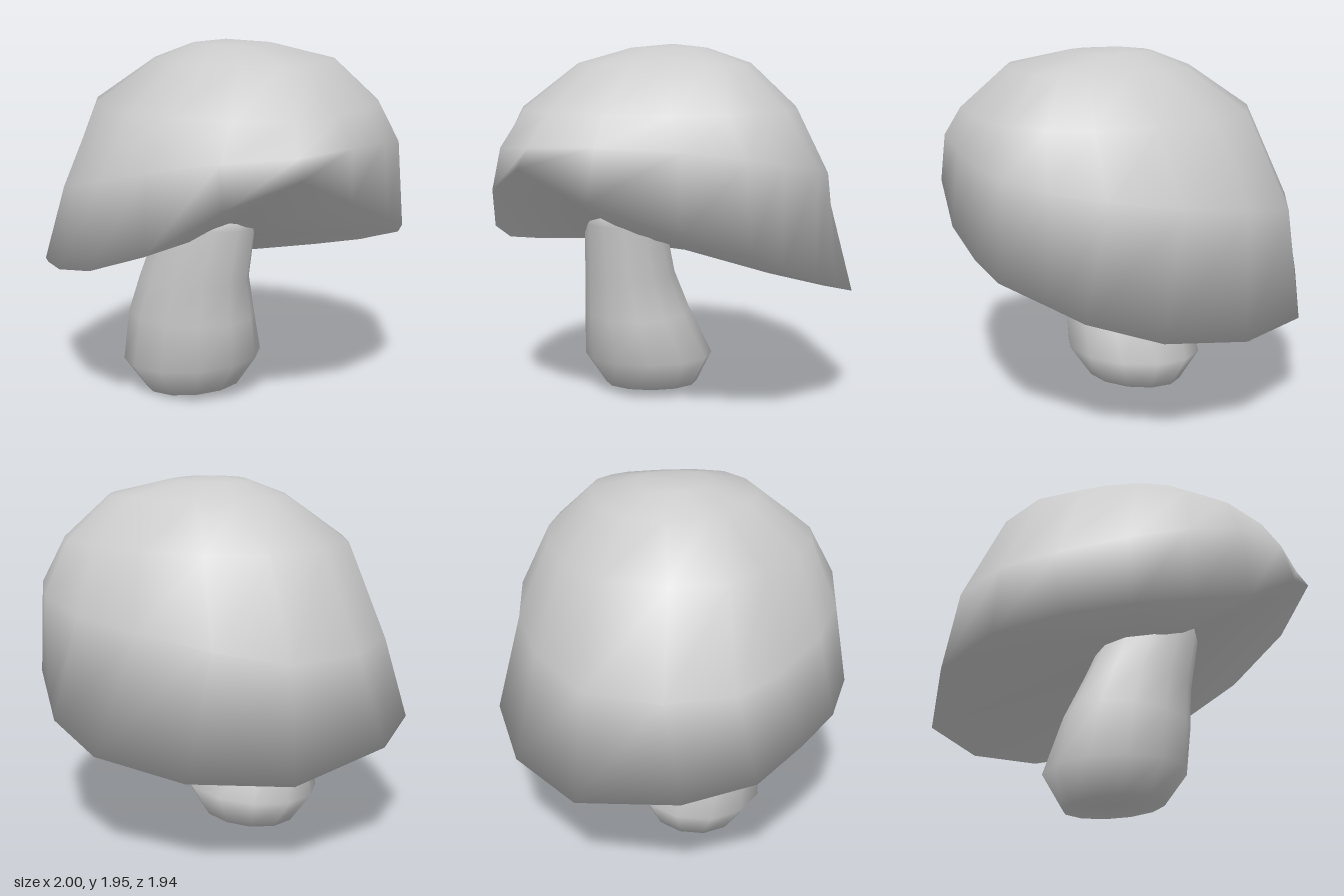
import * as THREE from 'three';

// Skins a stack of rings, each an array of [x, y, z]; a one-point ring closes an end.
function loft(name, rings, material) {
  const positions = [], index = [], starts = [];
  for (const ring of rings) {
    starts.push(positions.length / 3);
    for (const p of ring) positions.push(...p);
  }
  const count = Math.max(...rings.map((r) => r.length));
  for (let k = 0; k + 1 < rings.length; k++) {
    const at = (row, i) => starts[row] + (i % rings[row].length);
    for (let i = 0; i < count; i++) {
      const a = at(k, i), b = at(k, i + 1), c = at(k + 1, i + 1), d = at(k + 1, i);
      if (a !== b) index.push(a, b, c);
      if (c !== d) index.push(a, c, d);
    }
  }
  const geometry = new THREE.BufferGeometry();
  geometry.setAttribute('position', new THREE.Float32BufferAttribute(positions, 3));
  geometry.setIndex(index);
  geometry.computeVertexNormals();
  const mesh = new THREE.Mesh(geometry, material);
  mesh.name = name;
  return mesh;
}

export function createModel() {
  const group = new THREE.Group();
  group.name = 'mushroom';
  const material = new THREE.MeshStandardMaterial({ color: 0xcccccc });

  // Uneven, tilted rim of the cap
  const rim = [
    [-0.97, 0.69, 0.26], [-0.75, 0.76, 0.55], [-0.52, 0.80, 0.78], [-0.24, 0.86, 0.93],
    [0.10, 0.98, 0.97], [0.50, 1.23, 0.93], [0.82, 1.37, 0.77], [0.95, 1.22, 0.44],
    [1.00, 1.06, 0.00], [0.97, 0.96, -0.34], [0.90, 0.88, -0.50], [0.70, 0.79, -0.70],
    [0.57, 0.73, -0.83], [0.22, 0.63, -0.97], [-0.27, 0.55, -0.90], [-0.73, 0.53, -0.63],
    [-1.00, 0.63, -0.13],
  ];

  // Widest part of the dome above the rim, bulging towards the back on the left
  const shoulder = [
    [-0.87, 1.13, 0.17], [-0.72, 1.16, 0.42], [-0.47, 1.23, 0.70], [-0.22, 1.30, 0.86],
    [0.09, 1.38, 0.93], [0.46, 1.44, 0.89], [0.79, 1.47, 0.72], [0.93, 1.48, 0.40],
    [0.96, 1.46, 0.00], [0.94, 1.42, -0.32], [0.87, 1.39, -0.50], [0.71, 1.35, -0.69],
    [0.43, 1.30, -0.79], [0.05, 1.25, -0.83], [-0.34, 1.19, -0.77], [-0.68, 1.12, -0.57],
    [-0.87, 1.12, -0.20],
  ];

  // The dome closes over the shoulder [scale, shift x, shift z, height]
  const dome = [
    [0.83, 0.075, 0.03, 1.63],
    [0.52, 0.14, 0.02, 1.86],
    [0.23, 0.09, 0.01, 1.94],
  ].map(([s, sx, sz, h]) => shoulder.map(([x, , z]) => [x * s + sx, h, z * s + sz]));

  // Cap: underside, rim and dome in one smooth skin
  group.add(loft('cap', [[[0.08, 0.93, 0.26]], rim, shoulder, ...dome, [[0.06, 1.96, 0]]], material));

  // Stem: leaning, swollen towards the foot [height, centre x, centre z, radius x, radius z, slope x]
  const sections = [
    [0.04, -0.08, 0.12, 0.27, 0.26, 0.10],
    [0.21, -0.08, 0.135, 0.39, 0.36, 0.08],
    [0.48, -0.05, 0.20, 0.36, 0.295, 0],
    [0.70, -0.01, 0.24, 0.31, 0.25, 0],
    [1.00, 0.08, 0.265, 0.27, 0.22, 0],
    [1.08, 0.10, 0.27, 0.23, 0.19, 0],
  ];
  const sides = 12;
  const stemRings = sections.map(([h, cx, cz, rx, rz, slope]) =>
    Array.from({ length: sides }, (_, i) => {
      const a = (i / sides) * Math.PI * 2;
      const dx = -Math.cos(a) * rx;
      return [cx + dx, h + dx * slope, cz + Math.sin(a) * rz];
    }));
  group.add(loft('stem', [[[-0.08, 0.05, 0.12]], ...stemRings, [[0.1, 1.1, 0.27]]], material));

  return group;
}
